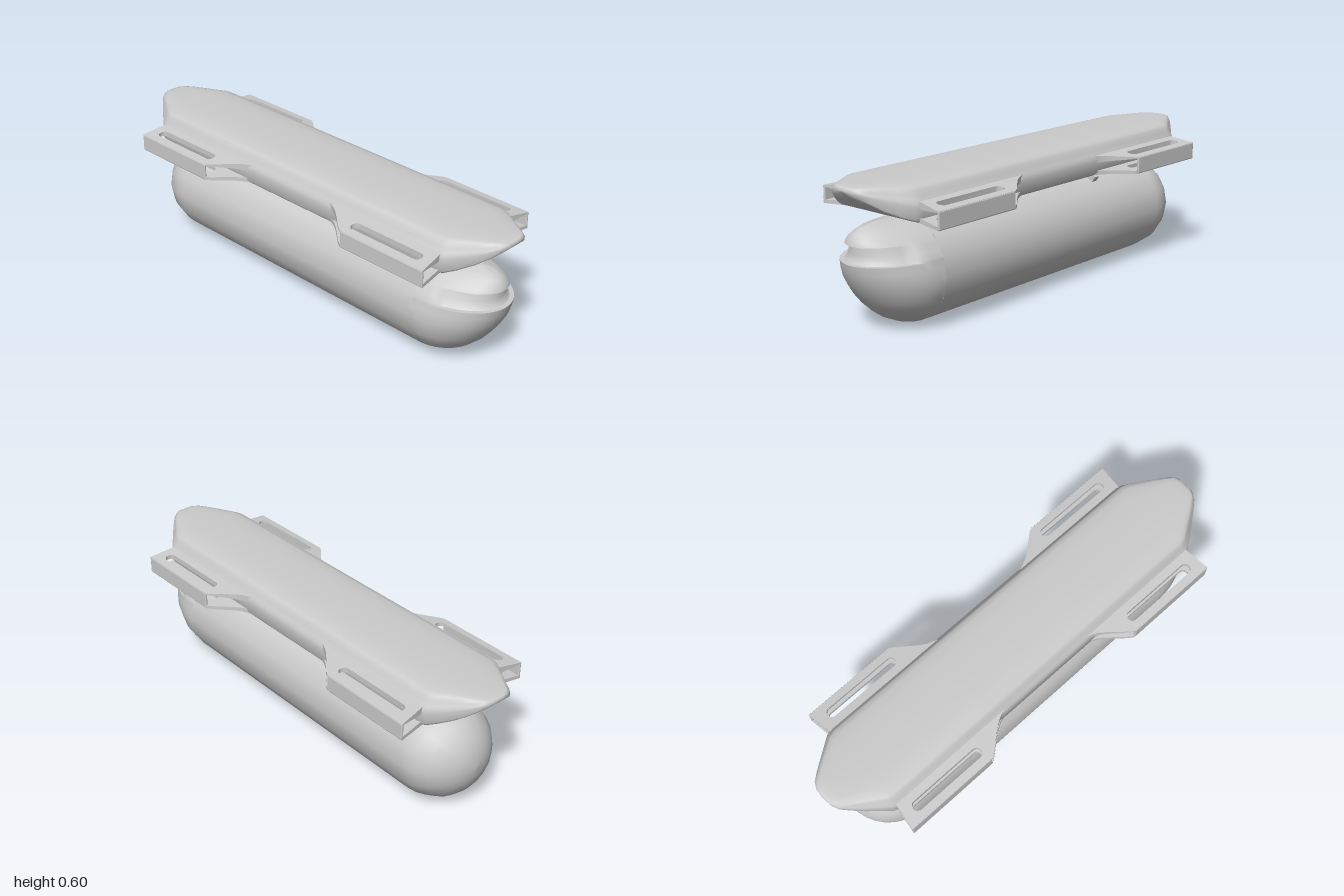
import * as THREE from 'three';
import { toCreasedNormals } from 'three/addons/utils/BufferGeometryUtils.js';
import { RoundedBoxGeometry } from 'three/addons/geometries/RoundedBoxGeometry.js';

const R = 0.215; // body radius
const material = new THREE.MeshStandardMaterial({ color: 0xcccccc, side: THREE.DoubleSide });

function add(parent, name, geometry) {
  const mesh = new THREE.Mesh(geometry, material);
  mesh.name = name;
  parent.add(mesh);
  return mesh;
}

// Skin a list of equally long rows of [x, y, z] points
function loft(rows, crease) {
  const n = rows[0].length, index = [];
  for (let i = 0; i < rows.length - 1; i++) {
    for (let j = 0; j < n - 1; j++) {
      const a = i * n + j, b = a + n;
      index.push(a, a + 1, b, b, a + 1, b + 1);
    }
  }
  const g = new THREE.BufferGeometry();
  g.setAttribute('position', new THREE.Float32BufferAttribute(rows.flat(2), 3));
  g.setIndex(index);
  return toCreasedNormals(g, crease);
}

// Half width of the sixteen-sided body at height y
function bodyWidth(y) {
  for (let k = 0; k < 8; k++) {
    const a = k * Math.PI / 8, b = a + Math.PI / 8;
    const y0 = R * (1 - Math.cos(a)), y1 = R * (1 - Math.cos(b));
    if (y <= y1) return R * THREE.MathUtils.mapLinear(y, y0, y1, Math.sin(a), Math.sin(b));
  }
  return 0;
}

// Tail dome and straight barrel
function barrelGeometry() {
  const profile = [];
  for (let i = 0; i <= 8; i++) {
    const a = i / 8 * Math.PI / 2;
    profile.push(new THREE.Vector2(R * Math.sin(a), -0.7 - R * Math.cos(a)));
  }
  profile.push(new THREE.Vector2(R, 0.68));
  return new THREE.LatheGeometry(profile, 16).rotateZ(-Math.PI / 2).translate(0, R, 0);
}

// Nose built from level slices: [height, tip x, notch depth]
function noseGeometry() {
  const slices = [
    [0, 0.68, 0], [0.016, 0.755, 0], [0.04, 0.805, 0], [0.063, 0.835, 0], [0.1, 0.875, 0],
    [0.135, 0.903, 0], [0.175, 0.93, 0], [0.215, 0.952, 0], [0.255, 0.967, 0], [0.287, 0.974, 0],
    [0.287, 0.974, 0.018], [0.297, 0.972, 0.025], [0.32, 0.969, 0.026], [0.345, 0.965, 0.022],
    [0.357, 0.962, 0.02], [0.357, 0.962, 0],
    [0.375, 0.957, 0], [0.397, 0.94, 0], [0.414, 0.91, 0], [0.424, 0.875, 0], [0.43, 0.83, 0],
  ];
  return loft(slices.map(([y, tip, depth]) => {
    const row = [], w = bodyWidth(y), length = tip - 0.68;
    for (let j = 0; j <= 32; j++) {
      const a = Math.PI / 2 - j / 32 * Math.PI;
      const x = 0.68 + length * Math.cos(a);
      const d = depth * THREE.MathUtils.smoothstep(x, 0.775, 0.81);
      row.push([x - d * Math.cos(a), y, (w - d) * Math.sin(a)]);
    }
    return row;
  }), 0.65);
}

// Flat-bottomed hull with raised, tapered ends
function hullGeometry() {
  // half section: [fraction of half width, fraction of height]
  const half = [[0, 1], [0.25, 0.995], [0.5, 0.98], [0.72, 0.945], [0.83, 0.9], [0.87, 0.83],
    [0.91, 0.72], [0.95, 0.6], [0.99, 0.52], [1, 0.4], [1, 0.06], [0.97, 0]];
  const ring = [...half, [0, 0], ...half.slice(1).reverse().map(([z, y]) => [-z, y]), [0, 1]];
  // stations: [x, half width, bottom, top]
  const end = [[0.3, 0.21, 0.45, 0.595], [0.79, 0.21, 0.45, 0.595], [0.82, 0.2, 0.457, 0.595],
    [0.86, 0.17, 0.473, 0.595], [0.91, 0.132, 0.5, 0.595], [0.95, 0.1, 0.529, 0.594],
    [0.98, 0.073, 0.553, 0.592], [0.995, 0.045, 0.568, 0.589], [1, 0, 0.58, 0.58]];
  const stations = [...end.slice().reverse().map(([x, ...s]) => [-x, ...s]), ...end];
  return loft(stations.map(([x, w, bottom, top]) =>
    ring.map(([z, y]) => [x, bottom + (top - bottom) * y, z * w])), 1.1);
}

// Slotted side plate; upper and lower give face heights at [hull, rim]
function plateGeometry(upper, lower) {
  const s = new THREE.Shape();
  s.moveTo(0.22, 0.17);
  s.lineTo(0.8, 0.17);
  s.lineTo(0.805, 0.21);
  s.quadraticCurveTo(0.808, 0.23, 0.82, 0.316);
  s.lineTo(0.4, 0.316);
  s.bezierCurveTo(0.37, 0.305, 0.3, 0.225, 0.25, 0.21);
  s.lineTo(0.22, 0.2);
  const slot = new THREE.Path(), r = 0.022, z = 0.26;
  slot.absarc(0.432, z, r, Math.PI / 2, Math.PI * 1.5, false);
  slot.absarc(0.743, z, r, -Math.PI / 2, Math.PI / 2, false);
  s.holes.push(slot);
  const g = new THREE.ExtrudeGeometry(s, { depth: 1, bevelEnabled: false, curveSegments: 8 });
  g.rotateX(Math.PI / 2);
  const p = g.attributes.position;
  for (let i = 0; i < p.count; i++) {
    const face = p.getY(i) > -0.5 ? upper : lower;
    p.setY(i, THREE.MathUtils.mapLinear(p.getZ(i), 0.21, 0.316, ...face));
  }
  return toCreasedNormals(g, 0.6);
}

// Strap following the top of the body
function saddleGeometry() {
  const s = new THREE.Shape(), spread = 0.6, mid = Math.PI / 2;
  s.absarc(0, 0, 0.24, mid - spread, mid + spread, false);
  s.absarc(0, 0, 0.212, mid + spread, mid - spread, true);
  const g = new THREE.ExtrudeGeometry(s, { depth: 0.03, bevelEnabled: false, curveSegments: 12 });
  g.translate(0, R, -0.015).rotateY(Math.PI / 2);
  return toCreasedNormals(g, 0.6);
}

export function createModel() {
  const model = new THREE.Group();
  model.name = 'airship';

  const body = new THREE.Group();
  body.name = 'lowerBody';
  add(body, 'bodyBarrel', barrelGeometry());
  add(body, 'notchedNose', noseGeometry());
  model.add(body);

  add(model, 'upperHull', hullGeometry());

  const saddle = saddleGeometry();
  for (const x of [-0.345, 0.345]) add(model, 'saddleStrap', saddle).position.x = x;

  // Four open side pods, mirrored from one
  const topPlate = plateGeometry([0.532, 0.517], [0.503, 0.511]);
  const bottomPlate = plateGeometry([0.468, 0.458], [0.45, 0.444]);
  const outerWall = new RoundedBoxGeometry(0.42, 0.073, 0.011, 2, 0.005).translate(0.61, 0.4805, 0.3125);
  for (const sx of [1, -1]) {
    for (const sz of [1, -1]) {
      const pod = new THREE.Group();
      pod.name = (sz > 0 ? 'front' : 'back') + (sx > 0 ? 'Left' : 'Right') + 'Pod';
      add(pod, 'podTop', topPlate);
      add(pod, 'podBottom', bottomPlate);
      add(pod, 'podOuterWall', outerWall);
      pod.scale.set(sx, 1, sz);
      model.add(pod);
    }
  }
  return model;
}
